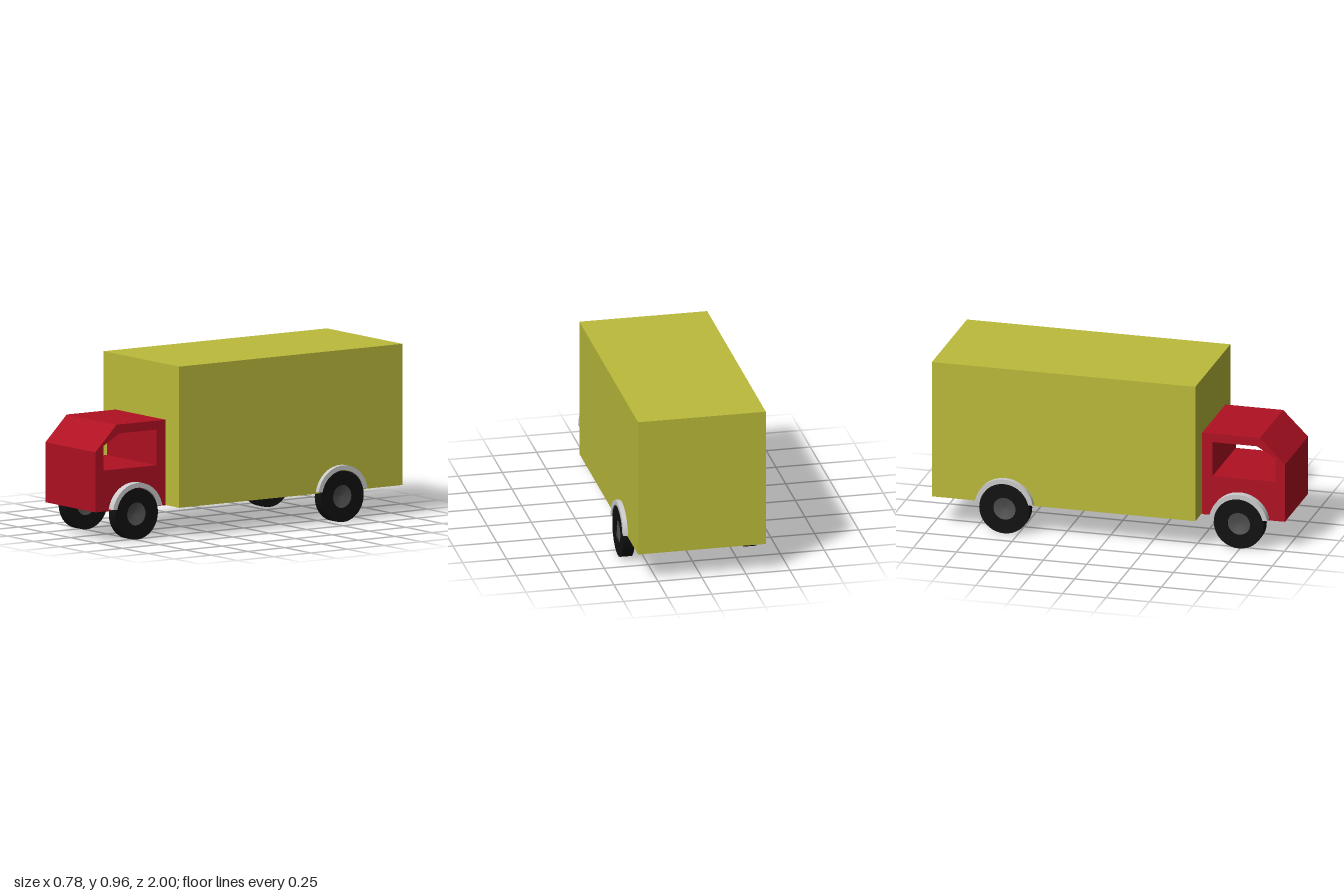
import * as THREE from 'three';
import { toCreasedNormals } from 'three/addons/utils/BufferGeometryUtils.js';

const paint = (color) => new THREE.MeshStandardMaterial({ color });
const red = paint(0xb01022), yellow = paint(0xbaba3a), grey = paint(0xcccccc);
const rubber = paint(0x101010), hubGrey = paint(0x505050);

const points = (list) => list.map(([a, b]) => new THREE.Vector2(a, b));

// Side profile drawn as (z, y), extruded across x and centred on x = 0
function extrudeAcross(shape, width) {
  const geometry = new THREE.ExtrudeGeometry(shape, { depth: width, bevelEnabled: false, curveSegments: 32 });
  geometry.rotateY(-Math.PI / 2);
  geometry.translate(width / 2, 0, 0);
  return toCreasedNormals(geometry, 0.5);
}

// Profile spun about the x axis
function spinAboutX(profile) {
  const geometry = new THREE.LatheGeometry(points(profile), 40);
  geometry.rotateZ(-Math.PI / 2);
  return toCreasedNormals(geometry, 0.4);
}

function add(parent, name, geometry, material, x = 0, y = 0, z = 0) {
  const mesh = new THREE.Mesh(geometry, material);
  mesh.name = name;
  mesh.position.set(x, y, z);
  parent.add(mesh);
  return mesh;
}

export function createModel() {
  const truck = new THREE.Group();
  truck.name = 'boxTruck';

  // Cab with a window opening running right through
  const cab = new THREE.Shape(points([[0.523, 0.17], [1, 0.17], [1, 0.507], [0.856, 0.65], [0.523, 0.65]]));
  cab.holes.push(new THREE.Path(points([[0.583, 0.4], [0.583, 0.6], [0.838, 0.6], [0.946, 0.538], [0.946, 0.4]])));
  add(truck, 'cab', extrudeAcross(cab, 0.48), red);

  // Cargo box
  add(truck, 'cargoBox', new THREE.BoxGeometry(0.726, 0.792, 1.518), yellow, 0, 0.566, -0.241);

  // Tyre ring and dished hub, the same on both faces
  const R = 0.144, r = 0.065, h = 0.032;
  const tyre = spinAboutX([[r, h], [r, -h], [R, -h], [R, h], [r, h]]);
  const hub = spinAboutX([[0, -0.008], [r, -0.024], [r, 0.024], [0, 0.008]]);

  // Mudguard arch, cut off level a little above the axle
  const outer = 0.169, inner = 0.142, a = Math.asin(0.03 / outer), b = Math.asin(0.03 / inner);
  const arch = new THREE.Shape();
  arch.absarc(0, 0, outer, a, Math.PI - a, false);
  arch.absarc(0, 0, inner, Math.PI - b, b, true);
  arch.closePath();
  const mudguard = extrudeAcross(arch, 0.07);

  // Two axles, mirrored left and right
  const axles = [
    { label: 'front', z: 0.743, wheelX: 0.242, guardX: 0.249 },
    { label: 'rear', z: -0.577, wheelX: 0.353, guardX: 0.355 },
  ];
  for (const { label, z, wheelX, guardX } of axles) {
    for (const side of [1, -1]) {
      const where = label + (side > 0 ? 'Left' : 'Right');
      const wheel = new THREE.Group();
      wheel.name = where + 'Wheel';
      wheel.position.set(side * wheelX, R, z);
      add(wheel, 'tyre', tyre, rubber);
      add(wheel, 'hub', hub, hubGrey);
      truck.add(wheel);
      add(truck, where + 'Mudguard', mudguard, grey, side * guardX, 0.15, z);
    }
  }
  return truck;
}
